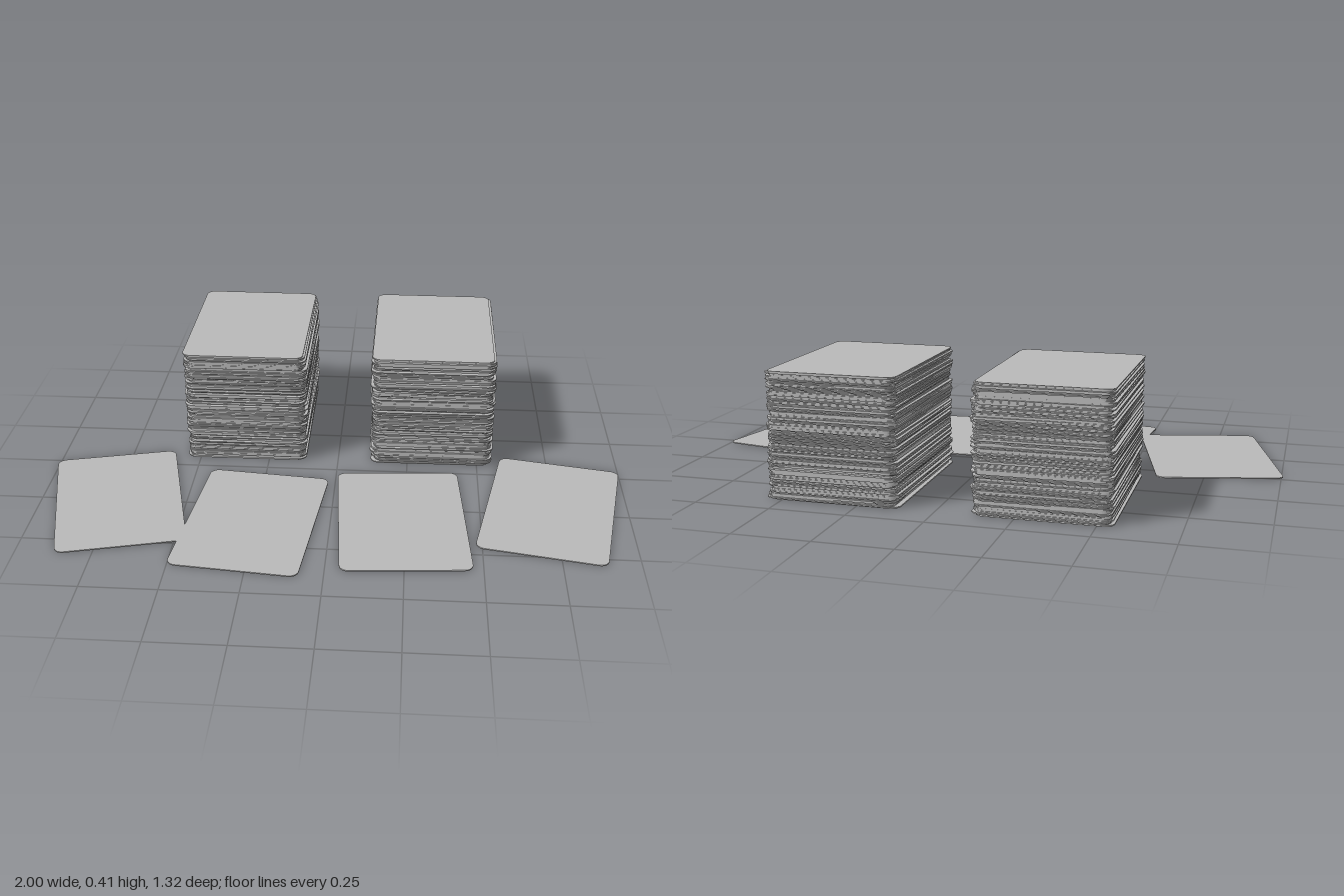
import * as THREE from 'three';

const WIDTH = 0.424, LENGTH = 0.592, RADIUS = 0.03, THICK = 0.0041;
const CARDS_PER_STACK = 100;

// Small seeded generator, returns -1..1
function seeded(seed) {
  let s = seed;
  return () => {
    s = (s * 16807) % 2147483647;
    return (s / 2147483647) * 2 - 1;
  };
}

// Rounded card lying flat, its underside on y = 0
function cardGeometry() {
  const w = WIDTH / 2, l = LENGTH / 2, r = RADIUS;
  const shape = new THREE.Shape();
  shape.absarc(w - r, l - r, r, 0, Math.PI / 2);
  shape.absarc(-w + r, l - r, r, Math.PI / 2, Math.PI);
  shape.absarc(-w + r, -l + r, r, Math.PI, Math.PI * 1.5);
  shape.absarc(w - r, -l + r, r, Math.PI * 1.5, Math.PI * 2);
  const geo = new THREE.ExtrudeGeometry(shape, { depth: THICK, bevelEnabled: false, curveSegments: 5 });
  return geo.rotateX(-Math.PI / 2);
}

export function createModel() {
  const model = new THREE.Group();
  model.name = 'cardStacks';
  const grey = new THREE.MeshStandardMaterial({ color: 0xb8b8b8 });
  grey.name = 'cardGrey';
  const geo = cardGeometry();

  function addCard(parent, name, x, y, z, turn) {
    const card = new THREE.Mesh(geo, grey);
    card.name = name;
    card.position.set(x, y, z);
    card.rotation.y = turn;
    parent.add(card);
  }

  // Two untidy stacks at the back
  [['rightStack', -0.33, 4711], ['leftStack', 0.335, 9203]].forEach(([name, x, seed]) => {
    const stack = new THREE.Group();
    stack.name = name;
    stack.position.set(x, 0, -0.358);
    const rand = seeded(seed);
    for (let i = 0; i < CARDS_PER_STACK; i++) {
      addCard(stack, 'stackedCard', rand() * 0.008, i * THICK, rand() * 0.008, rand() * 0.008);
    }
    model.add(stack);
  });

  // Four loose cards fanned out in front: x, z, turn
  [
    [-0.735, 0.245, 0.24],
    [-0.263, 0.346, -0.1],
    [0.237, 0.31, 0.07],
    [0.74, 0.212, -0.19],
  ].forEach(([x, z, turn]) => addCard(model, 'looseCard', x, 0, z, turn));

  return model;
}
